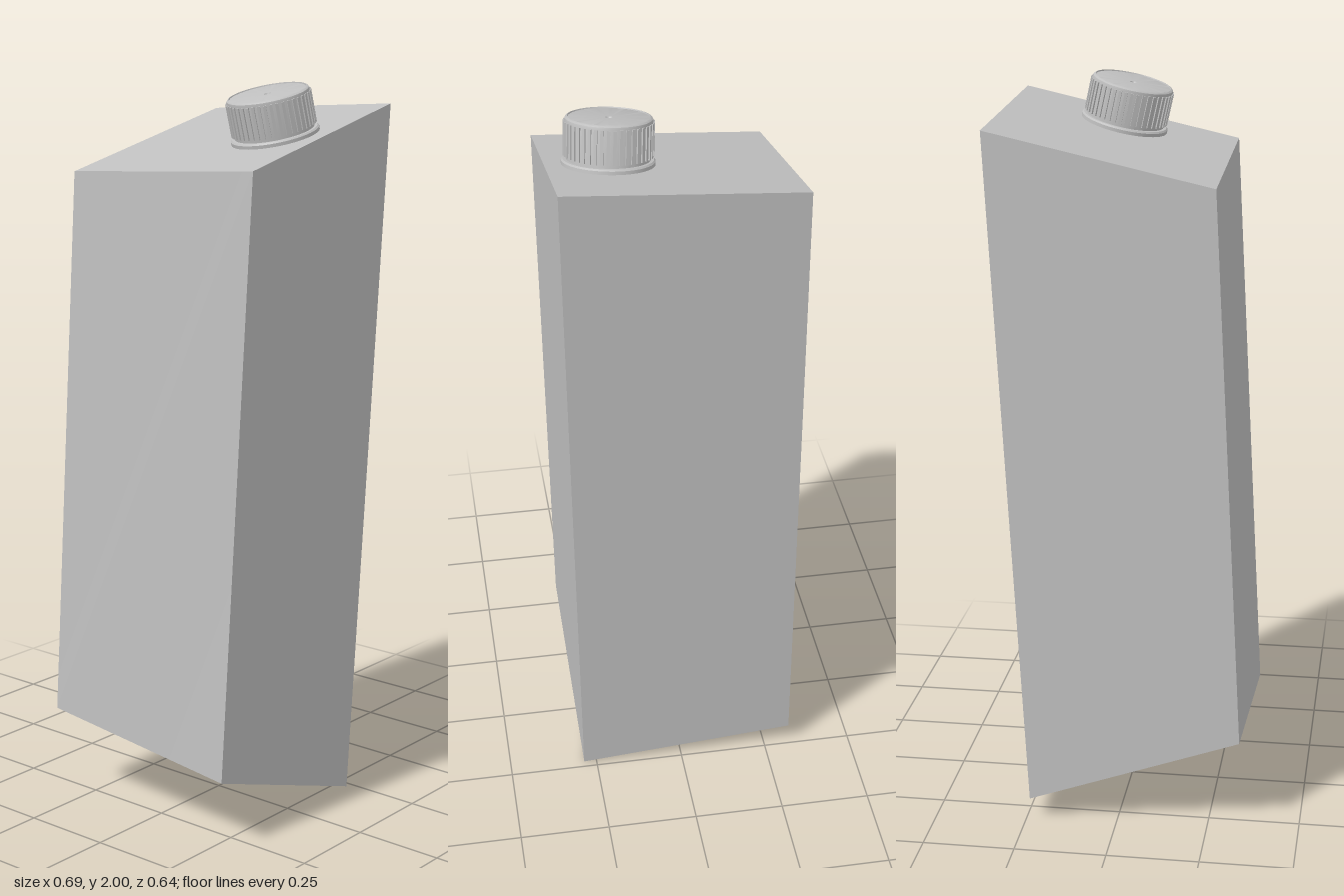
import * as THREE from 'three';
import { toCreasedNormals } from 'three/addons/utils/BufferGeometryUtils.js';

const grey = new THREE.MeshStandardMaterial({ color: 0xbfbfbf });
grey.name = 'carton grey';

function part(name, geometry, parent) {
  const mesh = new THREE.Mesh(geometry, grey);
  mesh.name = name;
  parent.add(mesh);
  return mesh;
}

// Turned part with crisp edges, profile given as [radius, height] from bottom to top
function turned(profile, segments = 64) {
  const points = profile.map(([r, y]) => new THREE.Vector2(r, y));
  return toCreasedNormals(new THREE.LatheGeometry(points, segments), 0.5);
}

// Box whose corners are moved to a skewed carton; keys are the signs of x, y, z
function cartonGeometry() {
  const corners = {
    '-1,-1,1': [-0.345, 0.2, 0.296],
    '1,-1,1': [0.23, 0, 0.286],
    '1,-1,-1': [0.24, 0.06, -0.322],
    '-1,-1,-1': [-0.336, 0.26, -0.313],
    '-1,1,1': [-0.254, 1.8, 0.321],
    '1,1,1': [0.34, 1.935, 0.316],
    '1,1,-1': [0.345, 1.896, -0.295],
    '-1,1,-1': [-0.253, 1.761, -0.29],
  };
  const geometry = new THREE.BoxGeometry(2, 2, 2);
  const pos = geometry.attributes.position;
  for (let i = 0; i < pos.count; i++) {
    const key = [pos.getX(i), pos.getY(i), pos.getZ(i)].map(Math.sign).join(',');
    pos.setXYZ(i, ...corners[key]);
  }
  geometry.computeVertexNormals();
  return geometry;
}

export function createModel() {
  const model = new THREE.Group();
  model.name = 'drinkCarton';
  part('cartonBody', cartonGeometry(), model);

  // Screw cap, standing square on the sloping top
  const cap = new THREE.Group();
  cap.name = 'screwCap';
  cap.position.set(0.044, 1.857, 0.157);
  cap.quaternion.setFromUnitVectors(
    new THREE.Vector3(0, 1, 0),
    new THREE.Vector3(-0.227, 1, -0.065).normalize()
  );
  model.add(cap);

  // Spout flange with a narrow neck above it
  part('spoutFlange', turned([
    [0.118, -0.005], [0.118, 0.009], [0.114, 0.013], [0.106, 0.013], [0.106, 0.024],
  ]), cap);

  // Cap shell with rounded rim, shallow recessed top and centre dimple
  part('capShell', turned([
    [0.1, 0.02], [0.11, 0.02], [0.11, 0.11], [0.109, 0.115], [0.106, 0.118],
    [0.103, 0.119], [0.102, 0.116], [0.009, 0.116], [0.007, 0.112], [0, 0.111],
  ]), cap);

  // Grip ribs around the cap
  const ribs = new THREE.Group();
  ribs.name = 'gripRibs';
  cap.add(ribs);
  const ribCount = 44;
  const ribGeometry = new THREE.BoxGeometry(0.008, 0.086, 0.008);
  for (let i = 0; i < ribCount; i++) {
    const a = (i / ribCount) * Math.PI * 2;
    const rib = part('gripRib', ribGeometry, ribs);
    rib.position.set(Math.sin(a) * 0.11, 0.065, Math.cos(a) * 0.11);
    rib.rotation.y = a;
  }
  return model;
}
